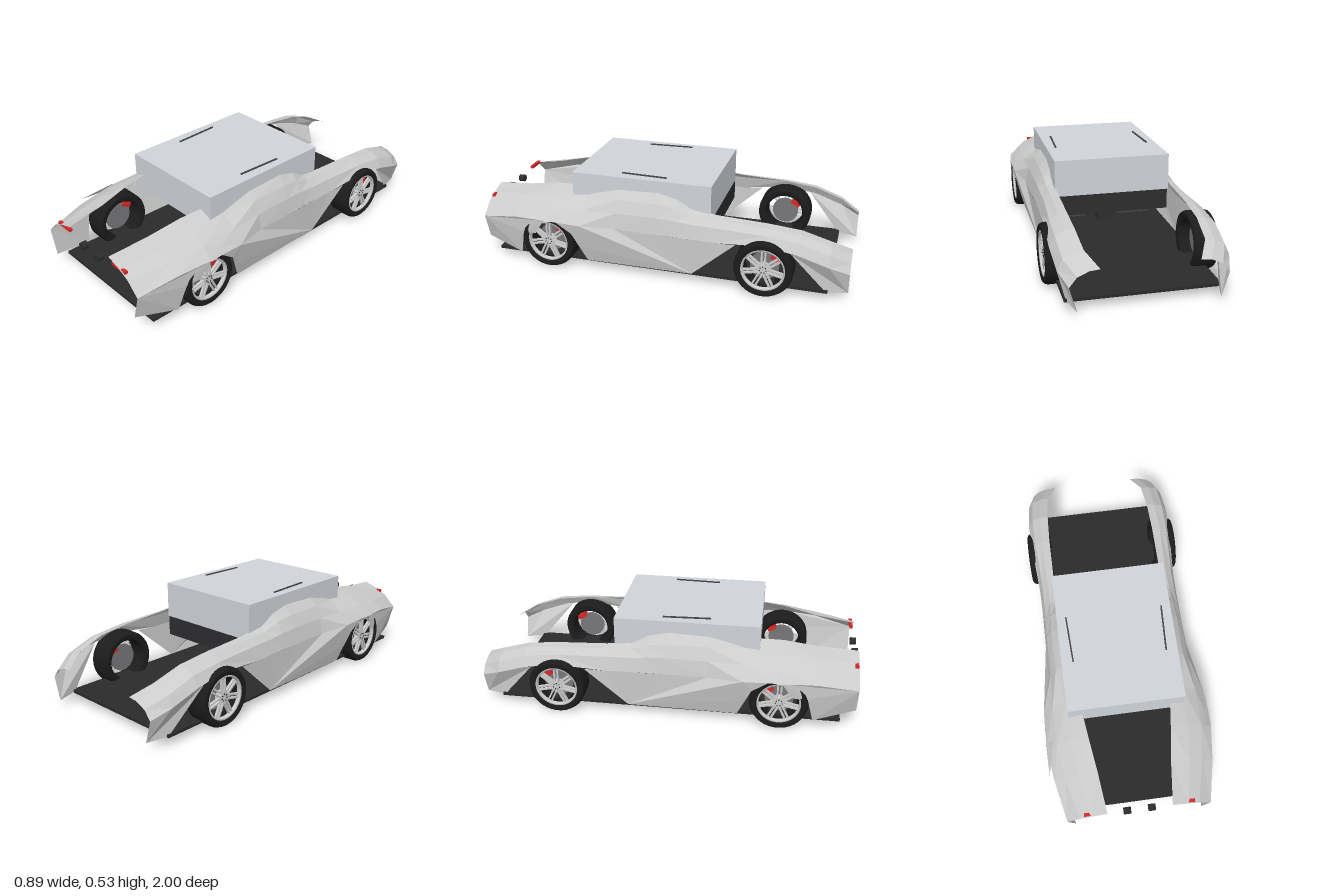
import * as THREE from 'three';

const mat = (color, extra = {}) => new THREE.MeshStandardMaterial({ color, ...extra });
const M = {
  body: mat(0xcccccc, { flatShading: true, side: THREE.DoubleSide }),
  glass: mat(0xd0d5da), dark: mat(0x2d2d2f), floor: mat(0x2a2a2c), seat: mat(0x48464c),
  tyre: mat(0x1c1c1c, { side: THREE.DoubleSide }), rim: mat(0xcccccc, { side: THREE.DoubleSide }),
  disc: mat(0x77777a), red: mat(0xd82828),
};

function add(parent, name, geo, material, x = 0, y = 0, z = 0) {
  const m = new THREE.Mesh(geo, material);
  m.name = name;
  m.position.set(x, y, z);
  parent.add(m);
  return m;
}
// box given by its extents
function box(parent, name, material, x0, x1, y0, y1, z0, z1) {
  return add(parent, name, new THREE.BoxGeometry(x1 - x0, y1 - y0, z1 - z0), material,
    (x0 + x1) / 2, (y0 + y1) / 2, (z0 + z1) / 2);
}
function surface(points, index) {
  const g = new THREE.BufferGeometry();
  g.setAttribute('position', new THREE.Float32BufferAttribute(points.flat(), 3));
  g.setIndex(index);
  g.computeVertexNormals();
  return g;
}

// Shell sections: z, then x,y of inner edge, shoulder, flank and belt line
const SECTIONS = [
  [0.99, 0.167, 0.357, 0.25, 0.33, 0.31, 0.3, 0.378, 0.235],
  [0.78, 0.19, 0.38, 0.29, 0.357, 0.36, 0.32, 0.42, 0.275],
  [0.6, 0.215, 0.415, 0.31, 0.38, 0.385, 0.34, 0.443, 0.283],
  [0.4, 0.24, 0.43, 0.31, 0.4, 0.385, 0.345, 0.438, 0.275],
  [0.22, 0.295, 0.46, 0.345, 0.41, 0.378, 0.345, 0.395, 0.262],
  [0, 0.3, 0.463, 0.345, 0.41, 0.375, 0.345, 0.39, 0.258],
  [-0.1, 0.3, 0.438, 0.34, 0.395, 0.372, 0.34, 0.388, 0.257],
  [-0.19, 0.3, 0.387, 0.337, 0.367, 0.37, 0.33, 0.388, 0.256],
  [-0.32, 0.3, 0.37, 0.336, 0.36, 0.37, 0.328, 0.39, 0.255],
  [-0.58, 0.3, 0.358, 0.345, 0.35, 0.385, 0.325, 0.408, 0.28],
  [-0.75, 0.295, 0.34, 0.34, 0.335, 0.387, 0.31, 0.415, 0.255],
  [-0.9, 0.283, 0.292, 0.33, 0.285, 0.38, 0.26, 0.405, 0.205],
  [-1, 0.23, 0.24, 0.28, 0.235, 0.335, 0.21, 0.37, 0.165],
];

function upperShell(s) {
  const pts = [], idx = [];
  SECTIONS.forEach(([z, ...p], i) => {
    for (let j = 0; j < 4; j++) pts.push([s * p[2 * j], p[2 * j + 1], z]);
    if (i) for (let j = 0; j < 3; j++) {
      const a = (i - 1) * 4 + j, b = i * 4 + j;
      idx.push(...(s > 0 ? [a, a + 1, b, b, a + 1, b + 1] : [a, b, a + 1, b, b + 1, a + 1]));
    }
  });
  return surface(pts, idx);
}

// Lower panels as outlines, each corner z, y, x
const PANELS = {
  frontCornerPanel: [[0.99, 0.235, 0.378], [0.78, 0.275, 0.42], [0.6, 0.283, 0.443], [0.66, 0.195, 0.428],
    [0.735, 0.19, 0.418], [0.77, 0.05, 0.39], [0.99, 0.1, 0.34]],
  sillPanel: [[0.53, 0.281, 0.442], [0.4, 0.275, 0.438], [0.22, 0.262, 0.395], [0, 0.258, 0.39],
    [-0.19, 0.256, 0.388], [-0.32, 0.255, 0.39], [-0.43, 0.262, 0.398], [-0.2, 0.055, 0.382],
    [0.38, 0.055, 0.387], [0.42, 0.15, 0.412], [0.45, 0.22, 0.43]],
  rearCornerPanel: [[-0.71, 0.26, 0.414], [-0.75, 0.255, 0.415], [-0.9, 0.205, 0.405], [-1, 0.165, 0.37],
    [-1, 0.045, 0.335], [-0.89, 0.05, 0.365]],
};
function panel(outline, s) {
  const faces = THREE.ShapeUtils.triangulateShape(outline.map(([z, y]) => new THREE.Vector2(z, y)), []);
  return surface(outline.map(([z, y, x]) => [s * x, y, z]), faces.flat());
}

// Wheel with its axle along x and its face towards +x
function wheel() {
  const g = new THREE.Group();
  const ring = (pts, n) => new THREE.LatheGeometry(pts.map(p => new THREE.Vector2(...p)), n).rotateZ(-Math.PI / 2);
  add(g, 'tyre', ring([[0.112, -0.056], [0.136, -0.064], [0.145, -0.06], [0.151, -0.046], [0.151, 0.046],
    [0.145, 0.06], [0.136, 0.066], [0.112, 0.058]], 40), M.tyre);
  add(g, 'rimBarrel', ring([[0.112, -0.056], [0.104, -0.045], [0.104, 0.04]], 40), M.tyre);
  add(g, 'rimLip', ring([[0.102, 0.04], [0.104, 0.058], [0.113, 0.06], [0.113, 0.054]], 40), M.rim);
  add(g, 'hub', new THREE.CylinderGeometry(0.028, 0.034, 0.03, 20).rotateZ(-Math.PI / 2), M.rim, 0.036);
  add(g, 'brakeDisc', new THREE.CylinderGeometry(0.075, 0.075, 0.01, 32).rotateZ(Math.PI / 2), M.disc, -0.005);
  for (let i = 0; i < 7; i++) {
    const a = i * Math.PI * 2 / 7;
    for (const off of [-0.009, 0.009]) {
      const spoke = new THREE.BoxGeometry(0.014, 0.085, 0.009).translate(0.044, 0.064, off);
      add(g, 'spoke', spoke.rotateX(a), M.rim);
    }
    add(g, 'wheelBolt', new THREE.CylinderGeometry(0.003, 0.003, 0.006, 6).rotateZ(Math.PI / 2), M.dark,
      0.052, Math.cos(a) * 0.017, Math.sin(a) * 0.017);
  }
  return g;
}

export function createModel() {
  const car = new THREE.Group();
  car.name = 'car';

  box(car, 'floor', M.floor, -0.375, 0.375, 0.046, 0.061, -0.9, 0.91);
  box(car, 'canopy', M.glass, -0.305, 0.305, 0.33, 0.522, -0.28, 0.48);
  box(car, 'dashboard', M.dark, -0.3, 0.3, 0.223, 0.33, -0.28, -0.17);
  box(car, 'console', M.dark, -0.047, 0.047, 0.132, 0.2, -0.15, 0.2);

  for (const s of [1, -1]) {
    const side = new THREE.Group();
    side.name = s > 0 ? 'leftSide' : 'rightSide';
    car.add(side);

    // Bodywork
    add(side, 'upperShell', upperShell(s), M.body);
    for (const name in PANELS) add(side, name, panel(PANELS[name], s), M.body);
    // fin above the front wheel, tapering to opposite ends on the two sides
    const z0 = s > 0 ? 0.6 : 0.575, z1 = s > 0 ? 0.43 : 0.75;
    add(side, 'archFin', surface([[s * 0.4, 0.335, z0], [s * 0.445, 0.278, z0], [s * 0.441, 0.292, z1]], [0, 1, 2]), M.body);

    // Wheels and brakes
    for (const [name, z, out] of [['frontWheel', 0.592, 0], ['rearWheel', -0.578, 0.004]]) {
      const w = wheel();
      w.name = name;
      w.position.set(s * (0.361 + out), 0.153, z);
      if (s < 0) w.rotation.y = Math.PI;
      side.add(w);
      const caliper = add(side, 'brakeCaliper', new THREE.BoxGeometry(0.03, 0.03, 0.055), M.red,
        s * 0.365, 0.205, z - 0.06);
      caliper.rotation.x = -0.5;
    }

    // Seat
    const seat = new THREE.Group();
    seat.name = 'seat';
    side.add(seat);
    box(seat, 'seatCushion', M.seat, s * 0.185 - 0.09, s * 0.185 + 0.09, 0.115, 0.165, -0.02, 0.19);
    const back = box(seat, 'seatBack', M.seat, s * 0.187 - 0.086, s * 0.187 + 0.086, 0.15, 0.43, 0.13, 0.18);
    back.rotation.x = 0.15;

    // Lights, exhausts and roof strips
    box(side, 'tailLight', M.red, s * 0.234 - 0.052, s * 0.234 + 0.052, 0.315, 0.33, 0.968, 0.985)
      .scale.x = 1;
    add(side, 'exhaust', new THREE.CylinderGeometry(0.02, 0.02, 0.032, 16).rotateX(Math.PI / 2), M.dark,
      s * 0.064, 0.296, 0.98);
    const strip = box(side, 'roofStrip', M.seat, s * 0.25 - 0.004, s * 0.25 + 0.004, 0.516, 0.528, -0.03, 0.22);
    strip.rotation.y = -s * 0.045;
  }
  return car;
}
